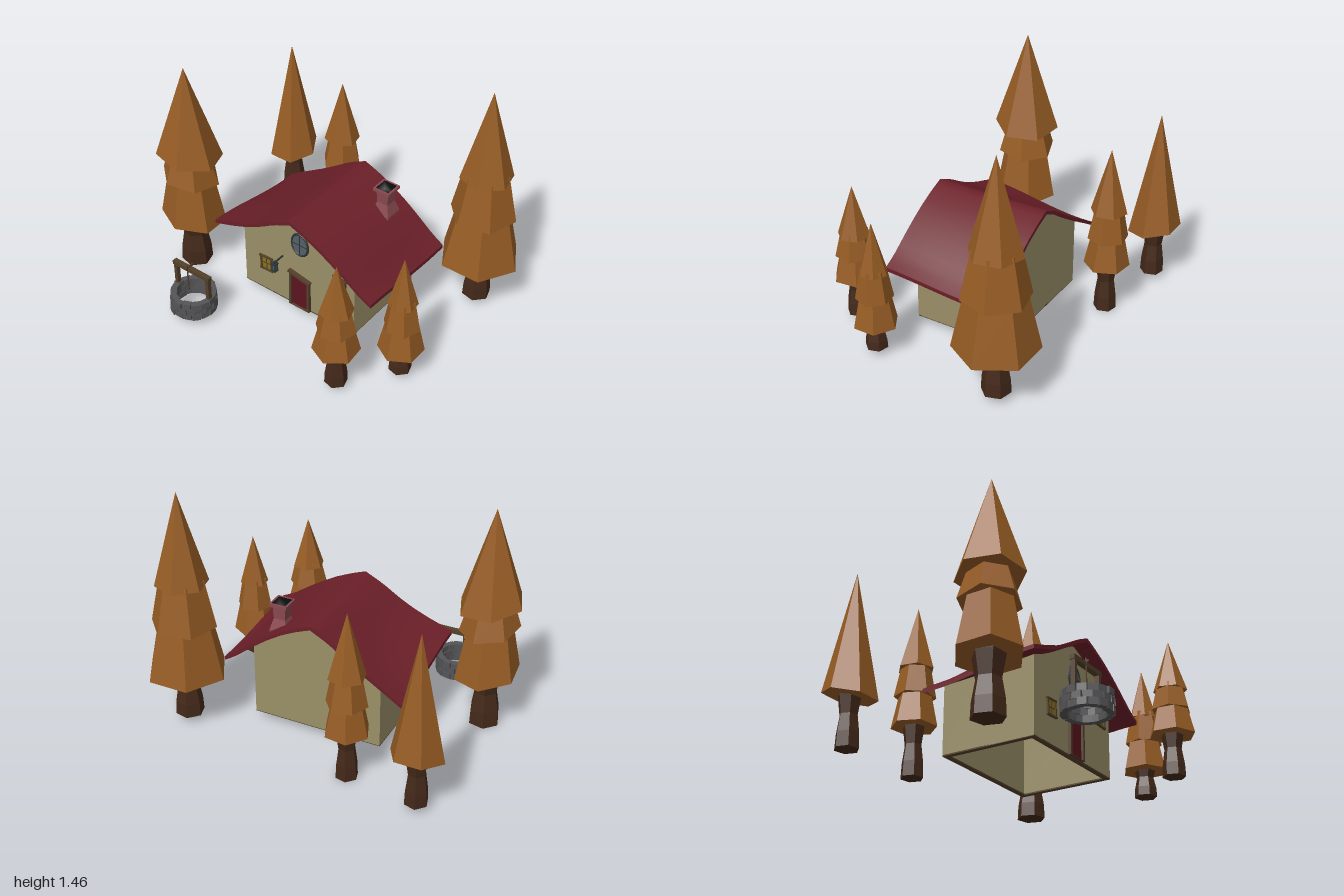
import * as THREE from 'three';

const mat = (color, opts = {}) => new THREE.MeshStandardMaterial({ color, ...opts });
const M = {
  leaf: mat(0x965c24, { flatShading: true }),
  bark: mat(0x44291a, { flatShading: true }),
  wall: mat(0x9a8f68),
  roof: mat(0x6b1f28),
  wood: mat(0x54402a),
  door: mat(0x5c1420),
  iron: mat(0x303536),
  glass: mat(0x566068),
  pane: mat(0x8a7418),
  lamp: mat(0x3f6468),
  brick: mat(0x8a4a50, { flatShading: true }),
  soot: mat(0x0c0c0c),
  stone: mat(0x555557, { flatShading: true }),
};

let seed = 7;
const rand = () => (seed = (seed * 16807) % 2147483647) / 2147483647;

function add(parent, name, geometry, material, x = 0, y = 0, z = 0) {
  const mesh = new THREE.Mesh(geometry, material);
  mesh.name = name;
  mesh.position.set(x, y, z);
  parent.add(mesh);
  return mesh;
}
const box = (w, h, d) => new THREE.BoxGeometry(w, h, d);
const polygon = (pts) => new THREE.Shape(pts.map(([x, y]) => new THREE.Vector2(x, y)));
function slab(pts, depth, hole) {
  const shape = polygon(pts);
  if (hole) shape.holes.push(polygon(hole));
  return new THREE.ExtrudeGeometry(shape, { depth, bevelEnabled: false, curveSegments: 24 });
}

// Tiered six-sided conifer; each tier is [bottomY, radius, turn]
function makeTree({ name, x, z, top, base, trunkR, tiers, lean = [0, 0] }) {
  const tree = new THREE.Group();
  tree.name = name;
  tree.position.set(x, 0, z);
  const low = tiers[tiers.length - 1][0];
  const h = low + 0.05 - base;
  const profile = [[0, 0], [1, 0], [0.95, 0.25], [0.74, 0.55], [1, 0.9], [1, 1]]
    .map(([r, t]) => new THREE.Vector2(r * trunkR, base + t * h));
  add(tree, 'trunk', new THREE.LatheGeometry(profile, 6), M.bark).rotation.y = 0.3;
  let upper = top;
  tiers.forEach(([bottom, r, turn], i) => {
    const height = upper - bottom + (i ? 0.03 : 0);
    const g = new THREE.CylinderGeometry(i ? r * 0.68 : 0, r, height, 6);
    g.rotateY(turn);
    g.translate(0, bottom + height / 2, 0);
    // Tilt the lower rim
    const p = g.attributes.position;
    for (let k = 0; k < p.count; k++) {
      p.setY(k, p.getY(k) + lean[0] * p.getX(k) + lean[1] * p.getZ(k));
    }
    add(tree, 'foliageTier', g, M.leaf);
    upper = bottom;
  });
  return tree;
}

// Roof height: eaves flare out and dip towards the back
const ridgeX = 0.015;
const profile = [[-0.545, 0.49], [-0.4, 0.54], [-0.3, 0.58], [-0.2, 0.632], [-0.1, 0.695], [ridgeX, 0.75],
  [0.1, 0.718], [0.2, 0.672], [0.3, 0.615], [0.4, 0.55], [0.5, 0.48], [0.575, 0.445]];
function roofY(x, z) {
  let i = 1;
  while (i < profile.length - 1 && x > profile[i][0]) i++;
  const [x0, y0] = profile[i - 1], [x1, y1] = profile[i];
  const y = y0 + (y1 - y0) * (x - x0) / (x1 - x0);
  const t = THREE.MathUtils.clamp((0.36 - z) / 0.71, 0, 1);
  const u = Math.abs(x - ridgeX) / 0.56;
  return y - (x < ridgeX ? 0.09 : 0.045) * u * u * t * t * (3 - 2 * t) - 0.007 * Math.sin(Math.PI * t);
}

function makeHouse() {
  const house = new THREE.Group();
  house.name = 'house';
  const Y0 = 0.055, front = 0.27, back = -0.31;

  // Gable walls
  for (const [name, z] of [['frontWall', front - 0.02], ['backWall', back]]) {
    const pts = [[-0.4, Y0], [0.4, Y0]];
    for (let i = 0; i <= 40; i++) {
      const x = 0.4 - i * 0.02;
      pts.push([x, roofY(x, z) - 0.01]);
    }
    add(house, name, slab(pts, 0.02), M.wall, 0, 0, z);
  }
  // Side walls and base beams
  for (const s of [-1, 1]) {
    const pts = [[back + 0.01, Y0], [front - 0.01, Y0]];
    for (let i = 0; i <= 10; i++) {
      const z = front - 0.01 - i * 0.056;
      pts.push([z, roofY(s * 0.39, z) - 0.01]);
    }
    const g = slab(pts, 0.02);
    g.rotateY(-Math.PI / 2);
    add(house, 'sideWall', g, M.wall, s > 0 ? 0.4 : -0.38);
    add(house, 'baseBeam', box(0.03, 0.008, 0.58), M.wood, s * 0.385, Y0, -0.02);
    add(house, 'baseBeam', box(0.8, 0.008, 0.03), M.wood, 0, Y0, s > 0 ? front - 0.015 : back + 0.015);
  }

  // Curved roof sheet
  const roof = new THREE.BoxGeometry(1.12, 0.024, 0.71, 24, 1, 10);
  roof.translate(ridgeX, 0, 0.005);
  const p = roof.attributes.position;
  for (let i = 0; i < p.count; i++) {
    p.setY(i, roofY(p.getX(i), p.getZ(i)) + (p.getY(i) > 0 ? 0 : -0.024));
  }
  roof.computeVertexNormals();
  add(house, 'roof', roof, M.roof);

  // Chimney with a flared foot and an open cap
  const R2 = Math.SQRT2;
  const shaft = [[0.054, 0.5], [0.056, 0.6], [0.036, 0.67], [0.04, 0.75], [0.055, 0.752], [0.055, 0.77], [0.043, 0.77]];
  const chimney = new THREE.Group();
  chimney.name = 'chimney';
  chimney.position.set(0.268, 0, -0.203);
  const lathe = (pts) => new THREE.LatheGeometry(pts.map(([r, y]) => new THREE.Vector2(r * R2, y)), 4).rotateY(Math.PI / 4);
  add(chimney, 'chimneyStack', lathe(shaft), M.brick);
  add(chimney, 'chimneyFlue', lathe([[0.043, 0.77], [0.035, 0.72], [0, 0.72]]), M.soot);
  house.add(chimney);

  // Crooked door
  add(house, 'doorFrame', slab([[-0.06, Y0], [0.088, Y0], [0.088, 0.28], [-0.056, 0.308]], 0.045,
    [[-0.044, Y0 + 0.002], [0.072, Y0 + 0.002], [0.072, 0.265], [-0.042, 0.286]]), M.wood, 0, 0, 0.245);
  add(house, 'door', slab([[-0.05, Y0], [0.08, Y0], [0.08, 0.27], [-0.05, 0.292]], 0.006), M.door, 0, 0, front);
  add(house, 'doorLintel', box(0.16, 0.014, 0.03), M.wood, 0.016, 0.293, 0.28).rotation.z = -0.19;

  // Oval gable window
  const oval = new THREE.Group();
  oval.name = 'ovalWindow';
  oval.position.set(0.015, 0.525, front);
  oval.scale.set(0.78, 1, 1);
  add(oval, 'windowRing', new THREE.TorusGeometry(0.074, 0.009, 8, 28), M.iron);
  add(oval, 'windowGlass', new THREE.CylinderGeometry(0.073, 0.073, 0.008, 28).rotateX(Math.PI / 2), M.glass);
  add(oval, 'windowBar', box(0.005, 0.146, 0.014), M.iron);
  add(oval, 'windowBar', box(0.146, 0.005, 0.014), M.iron);
  house.add(oval);

  // Small crooked windows
  for (const [x, y, tilt] of [[-0.235, 0.262, 0.05], [0.3, 0.382, -0.05]]) {
    const w = new THREE.Group();
    w.name = 'smallWindow';
    w.position.set(x, y, front);
    w.rotation.z = tilt;
    add(w, 'pane', box(0.075, 0.085, 0.008), M.pane);
    for (const s of [-1, 1]) {
      add(w, 'windowPost', box(0.01, 0.098, 0.024), M.wood, s * 0.038);
      add(w, 'windowRail', box(0.098, 0.01, 0.026), M.wood, 0, s * 0.046);
    }
    add(w, 'windowBar', box(0.005, 0.085, 0.014), M.wood);
    add(w, 'windowBar', box(0.075, 0.005, 0.014), M.wood);
    house.add(w);
  }

  // Wall lantern
  const lantern = new THREE.Group();
  lantern.name = 'lantern';
  lantern.position.set(-0.115, 0.345, 0.345);
  add(lantern, 'lampGlass', box(0.02, 0.04, 0.02), M.lamp);
  for (const s of [-1, 1]) {
    add(lantern, 'lampPlate', box(0.032, 0.009, 0.032), M.iron, 0, s * 0.024);
    for (const t of [-1, 1]) add(lantern, 'lampRod', box(0.006, 0.05, 0.006), M.iron, s * 0.011, 0, t * 0.011);
  }
  add(lantern, 'lampArm', box(0.008, 0.008, 0.085), M.iron, 0, 0.032, -0.035);
  house.add(lantern);
  return house;
}

function makeWell() {
  const well = new THREE.Group();
  well.name = 'well';
  well.position.set(-0.493, 0, 0.64);
  // Rings of rough stones
  const n = 15;
  for (let row = 0; row < 3; row++) {
    for (let i = 0; i < n; i++) {
      const a = (i + row * 0.5) / n * Math.PI * 2;
      const r = 0.117 + (rand() - 0.5) * 0.01;
      add(well, 'wellStone', box(0.05, 0.036 + rand() * 0.006, 0.036), M.stone,
        Math.sin(a) * r, 0.072 + row * 0.038, Math.cos(a) * r).rotation.y = a;
    }
  }
  // Wooden frame and rope
  for (const s of [-1, 1]) add(well, 'wellPost', box(0.022, 0.25, 0.026), M.wood, s * 0.12, 0.19, -0.005);
  add(well, 'wellBeam', box(0.274, 0.026, 0.03), M.wood, 0, 0.318, -0.005);
  add(well, 'wellRope', box(0.006, 0.18, 0.006), M.wood, -0.022, 0.26, 0.01);
  add(well, 'wellHook', box(0.008, 0.012, 0.06), M.wood, -0.022, 0.332, -0.005);
  return well;
}

export function createModel() {
  const model = new THREE.Group();
  model.name = 'forestCottage';
  model.add(makeHouse(), makeWell());
  const H = Math.PI / 6;
  [
    { name: 'tallRightTree', x: 0.753, z: -0.475, top: 1.46, base: 0.045, trunkR: 0.085,
      tiers: [[0.905, 0.155, 0.2], [0.645, 0.195, 0.75], [0.33, 0.243, H]] },
    { name: 'tallLeftTree', x: -0.81, z: 0.262, top: 1.38, base: 0.005, trunkR: 0.095, lean: [-0.13, 0.1],
      tiers: [[0.79, 0.195, 0.35], [0.635, 0.175, 0.85], [0.34, 0.193, 0.1]] },
    { name: 'backLeftTree', x: -0.777, z: -0.657, top: 1.09, base: 0.04, trunkR: 0.07, lean: [0, -0.2],
      tiers: [[0.34, 0.157, H]] },
    { name: 'backTree', x: -0.322, z: -0.57, top: 1.04, base: 0, trunkR: 0.066,
      tiers: [[0.65, 0.108, 0.2], [0.48, 0.12, 0.7], [0.3, 0.134, 0.4]] },
    { name: 'frontRightTree', x: 0.528, z: 0.607, top: 0.87, base: 0.04, trunkR: 0.066,
      tiers: [[0.56, 0.098, 0.3], [0.435, 0.116, 0.85], [0.287, 0.135, 0.1]] },
    { name: 'sideRightTree', x: 0.752, z: 0.312, top: 0.835, base: 0.04, trunkR: 0.066,
      tiers: [[0.525, 0.085, 0.1], [0.365, 0.108, 0.7], [0.197, 0.132, 0]] },
  ].forEach((t) => model.add(makeTree(t)));
  return model;
}
